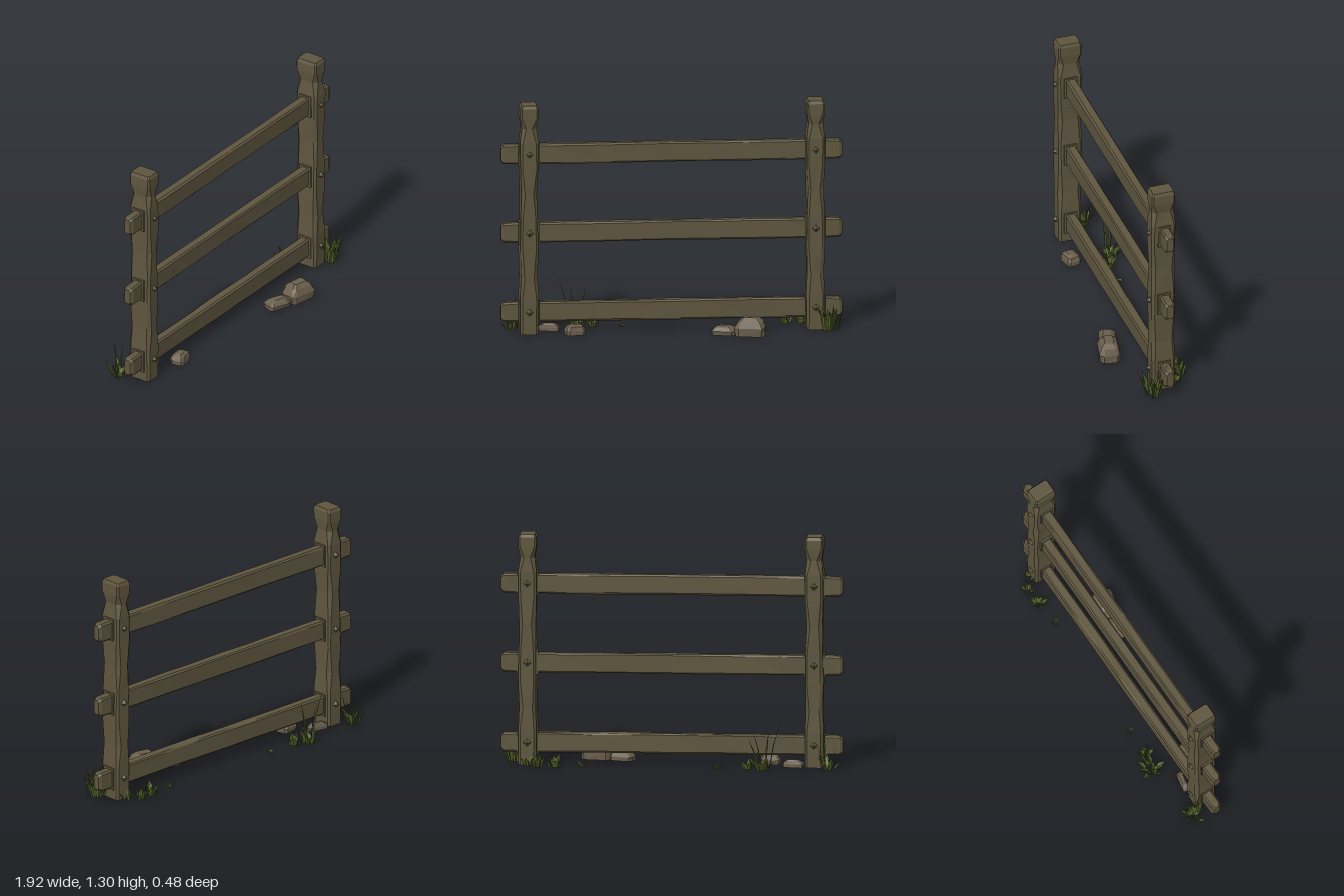
import * as THREE from 'three';
import { mergeGeometries } from 'three/addons/utils/BufferGeometryUtils.js';

let seed = 7;
const rnd = () => (seed = (seed * 16807) % 2147483647) / 2147483647;
const jit = a => (rnd() * 2 - 1) * a;

function geometryFrom(points) {
  const g = new THREE.BufferGeometry().setFromPoints(points);
  g.computeVertexNormals();
  return g;
}

// Chamfered rectangle at height y: half sizes a (x) and b (z), corner cut c
function ring(y, a, b, c, wobble = 0, cx = 0, cz = 0) {
  return [[a, c - b], [a, b - c], [a - c, b], [c - a, b], [-a, b - c], [-a, c - b], [c - a, -b], [a - c, -b]]
    .map(([u, v]) => new THREE.Vector3(cx + u + jit(wobble), y, cz - v + jit(wobble)));
}

// Closed solid through a list of rings, bottom to top
function loft(rings) {
  const p = [], n = rings[0].length, last = rings[rings.length - 1];
  for (let i = 0; i < rings.length - 1; i++) {
    for (let k = 0; k < n; k++) {
      const m = (k + 1) % n, lo = rings[i], hi = rings[i + 1];
      p.push(lo[k], lo[m], hi[m], lo[k], hi[m], hi[k]);
    }
  }
  for (let k = 1; k < n - 1; k++) {
    p.push(last[0], last[k], last[k + 1], rings[0][0], rings[0][k + 1], rings[0][k]);
  }
  return geometryFrom(p);
}

// Hewn post with a waist below its head
function postGeometry() {
  return loft([
    ring(0, 0.050, 0.066, 0.012), ring(0.2, 0.052, 0.068, 0.014, 0.002),
    ring(0.32, 0.046, 0.067, 0.020, 0.003), ring(0.48, 0.050, 0.068, 0.012, 0.003),
    ring(0.66, 0.049, 0.068, 0.014, 0.003), ring(0.8, 0.045, 0.067, 0.020, 0.003),
    ring(0.94, 0.050, 0.069, 0.012, 0.002), ring(1.09, 0.050, 0.069, 0.012, 0.002),
    ring(1.17, 0.041, 0.064, 0.024, 0.002), ring(1.23, 0.050, 0.068, 0.010, 0.001),
    ring(1.285, 0.050, 0.068, 0.008), ring(1.302, 0.042, 0.060, 0.008),
  ]);
}

// Rail with slightly uneven edges and bevelled ends, laid along x
function railGeometry() {
  const rings = [ring(-0.957, 0.043, 0.020, 0.012), ring(-0.94, 0.054, 0.030, 0.010)];
  for (let i = 0; i <= 8; i++) rings.push(ring(-0.86 + i * 0.215, 0.056, 0.029, 0.009, 0.002));
  rings.push(ring(0.94, 0.054, 0.030, 0.010), ring(0.957, 0.043, 0.020, 0.012));
  return loft(rings).rotateZ(-Math.PI / 2);
}

// Faceted boulder resting on the ground
function stoneGeometry(w, h, d) {
  const s = Math.min(w, d);
  return loft([[0, 0.96], [0.45, 1], [0.8, 0.78], [1, 0.45]].map(([y, k], i) =>
    ring(y * h, w * k / 2, d * k / 2, s * k * 0.17, i ? s * 0.04 : 0)));
}

// Folded blade of grass leaning in direction ang
function blade(x, z, ang, h, w, lean) {
  const dx = Math.cos(ang), dz = Math.sin(ang);
  const at = (t, y, side, fold) => new THREE.Vector3(
    x + dx * (t * lean + fold) - dz * side, y * h, z + dz * (t * lean + fold) + dx * side);
  const b0 = at(0, 0, -w * 0.35, 0), b1 = at(0, 0, w * 0.35, 0);
  const m0 = at(0.35, 0.5, -w * 0.5, 0), m1 = at(0.35, 0.5, w * 0.5, 0);
  const c0 = at(0, 0, 0, w * 0.3), c1 = at(0.35, 0.5, 0, w * 0.3), tip = at(1, 1, 0, 0);
  return geometryFrom([b0, c0, c1, b0, c1, m0, c0, b1, m1, c0, m1, c1, m0, c1, tip, c1, m1, tip]);
}

function tuftGeometry(x, z, r, h, count, w) {
  const blades = [];
  for (let i = 0; i < count; i++) {
    const ang = (i / count) * Math.PI * 2 + jit(0.4);
    const off = r * 0.5 * rnd();
    blades.push(blade(x + Math.cos(ang) * off, z + Math.sin(ang) * off, ang,
      h * (0.45 + 0.55 * rnd()), w, r * (0.3 + 0.5 * rnd())));
  }
  return mergeGeometries(blades);
}

export function createModel() {
  seed = 7;
  const model = new THREE.Group();
  model.name = 'woodenFence';
  const mat = (name, color, extra) => Object.assign(
    new THREE.MeshStandardMaterial({ color, flatShading: true, ...extra }), { name });
  const wood = mat('wood', 0x5f563f);
  const rock = mat('stone', 0x6a5f4d);
  const grass = mat('grass', 0x55622a, { side: THREE.DoubleSide });

  const add = (name, geo, material, x = 0, y = 0, z = 0) => {
    const m = new THREE.Mesh(geo, material);
    m.name = name;
    m.position.set(x, y, z);
    model.add(m);
    return m;
  };

  const levels = [0.122, 0.573, 1.02];
  const posts = [['right', -0.797], ['left', 0.805]];

  levels.forEach((y, i) => add(['lower', 'middle', 'upper'][i] + 'Rail', railGeometry(), wood, 0, y, -0.002));

  for (const [side, x] of posts) {
    add(side + 'Post', postGeometry(), wood, x);
    for (const y of levels) {
      // Socket around the rail
      add(side + 'Socket', new THREE.BoxGeometry(0.118, 0.13, 0.076), wood, x, y);
      // Pointed peg ends on front and back
      for (const s of [1, -1]) {
        const peg = add(side + 'Peg', new THREE.ConeGeometry(0.027, 0.026, 4), wood, x, y + 0.005, s * 0.075);
        peg.rotation.x = s * Math.PI / 2;
      }
    }
  }

  // Stones: x, z, width, height, depth, turn
  [
    [0.285, 0.14, 0.14, 0.052, 0.09, -0.35],
    [0.43, 0.18, 0.17, 0.105, 0.115, -0.2],
    [-0.545, 0.068, 0.11, 0.06, 0.085, 0.2],
    [-0.68, -0.045, 0.12, 0.045, 0.04, -0.2],
  ].forEach(([x, z, w, h, d, turn]) => {
    add('stone', stoneGeometry(w, h, d), rock, x, 0, z).rotation.y = turn;
  });

  // Grass tufts: x, z, radius, height, blade count, blade width
  [
    [-0.88, -0.11, 0.07, 0.10, 12, 0.026], [-0.87, -0.12, 0.08, 0.22, 4, 0.010],
    [-0.52, -0.15, 0.08, 0.08, 12, 0.03], [-0.43, -0.13, 0.045, 0.07, 9, 0.03],
    [-0.26, -0.12, 0.03, 0.02, 6, 0.025], [0.50, -0.11, 0.03, 0.04, 5, 0.02],
    [0.65, -0.13, 0.055, 0.07, 11, 0.03], [0.74, -0.13, 0.05, 0.10, 9, 0.024],
    [0.80, -0.09, 0.04, 0.08, 6, 0.022],
    [0.88, 0.07, 0.08, 0.15, 18, 0.026], [0.89, 0.08, 0.09, 0.23, 5, 0.010],
  ].forEach(t => add('grassTuft', tuftGeometry(...t), grass));

  // Tall blades behind the lower rail
  const tall = [[-0.55, -0.14, 3.3, 0.28, 0.014, 0.07], [-0.53, -0.15, 3.9, 0.23, 0.014, 0.03],
    [-0.51, -0.14, -0.3, 0.25, 0.014, 0.06], [-0.49, -0.15, -0.7, 0.19, 0.016, 0.07]];
  add('tallGrass', mergeGeometries(tall.map(b => blade(...b))), grass);

  return model;
}
